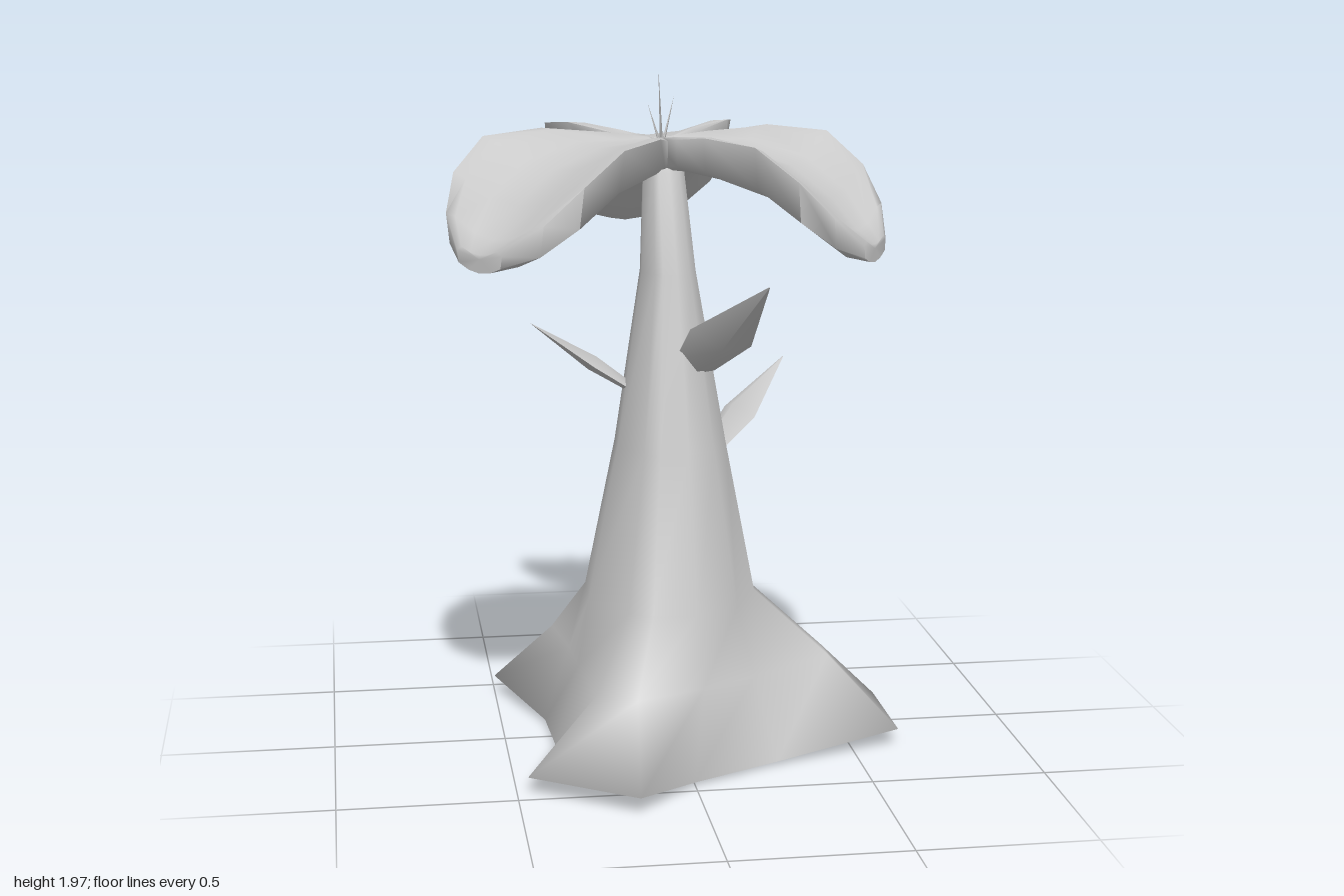
import * as THREE from 'three';
import { toCreasedNormals } from 'three/addons/utils/BufferGeometryUtils.js';

const V = (x, y, z) => new THREE.Vector3(x, y, z);
const material = new THREE.MeshStandardMaterial({ color: 0xcccccc });

// Skin a list of equal-length rings and close both ends with fans
function loft(rings) {
  const n = rings[0].length, pts = rings.flat(), index = [];
  for (let i = 0; i < rings.length - 1; i++) {
    for (let j = 0; j < n; j++) {
      const a = i * n + j, b = i * n + (j + 1) % n;
      index.push(a, a + n, b, b, a + n, b + n);
    }
  }
  const cap = (start, flip) => {
    const c = pts.length;
    const mid = V(0, 0, 0);
    for (let j = 0; j < n; j++) mid.addScaledVector(pts[start + j], 1 / n);
    pts.push(mid);
    for (let j = 0; j < n; j++) {
      const a = start + j, b = start + (j + 1) % n;
      index.push(...(flip ? [c, a, b] : [c, b, a]));
    }
  };
  cap(0, true);
  cap((rings.length - 1) * n, false);
  const geo = new THREE.BufferGeometry().setFromPoints(pts);
  geo.setIndex(index);
  geo.computeVertexNormals();
  return geo;
}

function add(parent, name, geometry) {
  const mesh = new THREE.Mesh(geometry, material);
  mesh.name = name;
  parent.add(mesh);
  return mesh;
}

// Trunk flaring into three blunt roots, smooth all over
function trunkGeometry() {
  // x, z pairs: two root corners then two valley points, three times
  const foot = [[.64, -.11], [.64, .22], [.26, .33], [0, .46], [-.18, .66], [-.47, .46],
    [-.36, .1], [-.37, -.12], [-.5, -.44], [-.24, -.59], [.02, -.33], [.2, -.23]];
  const knee = [[.45, 0], [.45, .1], [.2, .27], [.04, .36], [-.16, .44], [-.27, .38],
    [-.29, .1], [-.3, -.08], [-.33, -.3], [-.24, -.37], [.02, -.25], [.17, -.17]];
  const isRoot = j => j % 4 < 2;
  const rings = [
    foot.map(([x, z], j) => isRoot(j) ? V(x * .6, 0, z * .6) : V(x * .92, 0, z * .92)),
    foot.map(([x, z], j) => V(x, isRoot(j) ? .05 : .01, z)),
    knee.map(([x, z]) => V(x, .25, z)),
  ];
  // y, centre x, centre z, radius x, radius z
  const stem = [[.46, -.02, .06, .25, .285], [.9, -.015, .05, .162, .192],
    [1.4, -.02, .045, .08, .1], [1.68, -.028, .015, .06, .055], [1.75, -.03, 0, .035, .035]];
  for (const [y, cx, cz, rx, rz] of stem) {
    rings.push(knee.map(([x, z]) => {
      const a = Math.atan2(z - .03, x + .02);
      return V(cx + rx * Math.cos(a), y, cz + rz * Math.sin(a));
    }));
  }
  return loft(rings);
}

// Thick, slightly cupped petal growing along +x and drooping at the tip
function petalGeometry() {
  // distance, half width, top at midline, top edge lift, underside at midline
  const sections = [[0, .03, 1.77, .005, 1.68], [.1, .125, 1.765, .035, 1.68],
    [.23, .235, 1.76, .06, 1.665], [.4, .28, 1.71, .095, 1.615], [.52, .26, 1.625, .09, 1.53],
    [.6, .195, 1.54, .075, 1.465], [.65, .09, 1.505, .025, 1.455]];
  const across = [1, .8, .4, 0, -.4, -.8, -1];
  const under = [-.93, -.5, 0, .5, .93];
  return toCreasedNormals(loft(sections.map(([s, w, y, lift, low]) => [
    ...across.map(v => V(s, y + lift * v * v - (Math.abs(v) === 1 ? .02 : 0), w * v)),
    ...under.map(v => V(s, low + (lift * .6 + .01) * v * v, w * v)),
  ])), 1.4);
}

// Pointed diamond leaf from base to tip; side is its half width
function leafGeometry(base, tip, side, thickness) {
  const dir = tip.clone().sub(base);
  const normal = dir.clone().cross(side).setLength(thickness);
  const ring = (t, k) => [[normal, 1], [side, 1], [normal, -1], [side, -1]].map(([v, sign]) =>
    base.clone().addScaledVector(dir, t).addScaledVector(v, sign * k));
  return toCreasedNormals(loft([ring(0, .65), ring(.36, 1), ring(1, .02)]), 1);
}

export function createModel() {
  const model = new THREE.Group();
  model.name = 'flowerTree';
  add(model, 'trunk', trunkGeometry());

  // Crown of three petals
  const petal = petalGeometry();
  for (const [name, degrees, size] of [['leftPetal', 32, .99], ['rightPetal', 144, 1.04], ['backPetal', 268, 1.01]]) {
    const mesh = add(model, name, petal);
    mesh.position.set(-.03, 0, 0);
    mesh.rotation.y = -degrees * Math.PI / 180;
    mesh.scale.set(size, 1, size);
  }

  // Side leaves
  add(model, 'frontLeaf', leafGeometry(V(.045, 1.14, .14), V(.21, 1.4, .4), V(.09, -.03, -.02), .045));
  add(model, 'rightLeaf', leafGeometry(V(-.14, 1.07, .04), V(-.41, 1.25, .02), V(0, 0, .08), .022));
  add(model, 'leftLeaf', leafGeometry(V(.13, .87, -.03), V(.36, 1.1, -.17), V(.03, 0, .085), .035));

  // Fine stamens at the centre
  for (const tip of [V(-.05, 1.97, .08), V(.01, 1.89, -.03), V(-.07, 1.87, 0)]) {
    const root = V(-.03, 1.74, 0);
    const dir = tip.clone().sub(root);
    const stamen = add(model, 'stamen', new THREE.ConeGeometry(.005, dir.length(), 4));
    stamen.position.copy(root).addScaledVector(dir, .5);
    stamen.quaternion.setFromUnitVectors(V(0, 1, 0), dir.normalize());
  }
  return model;
}
